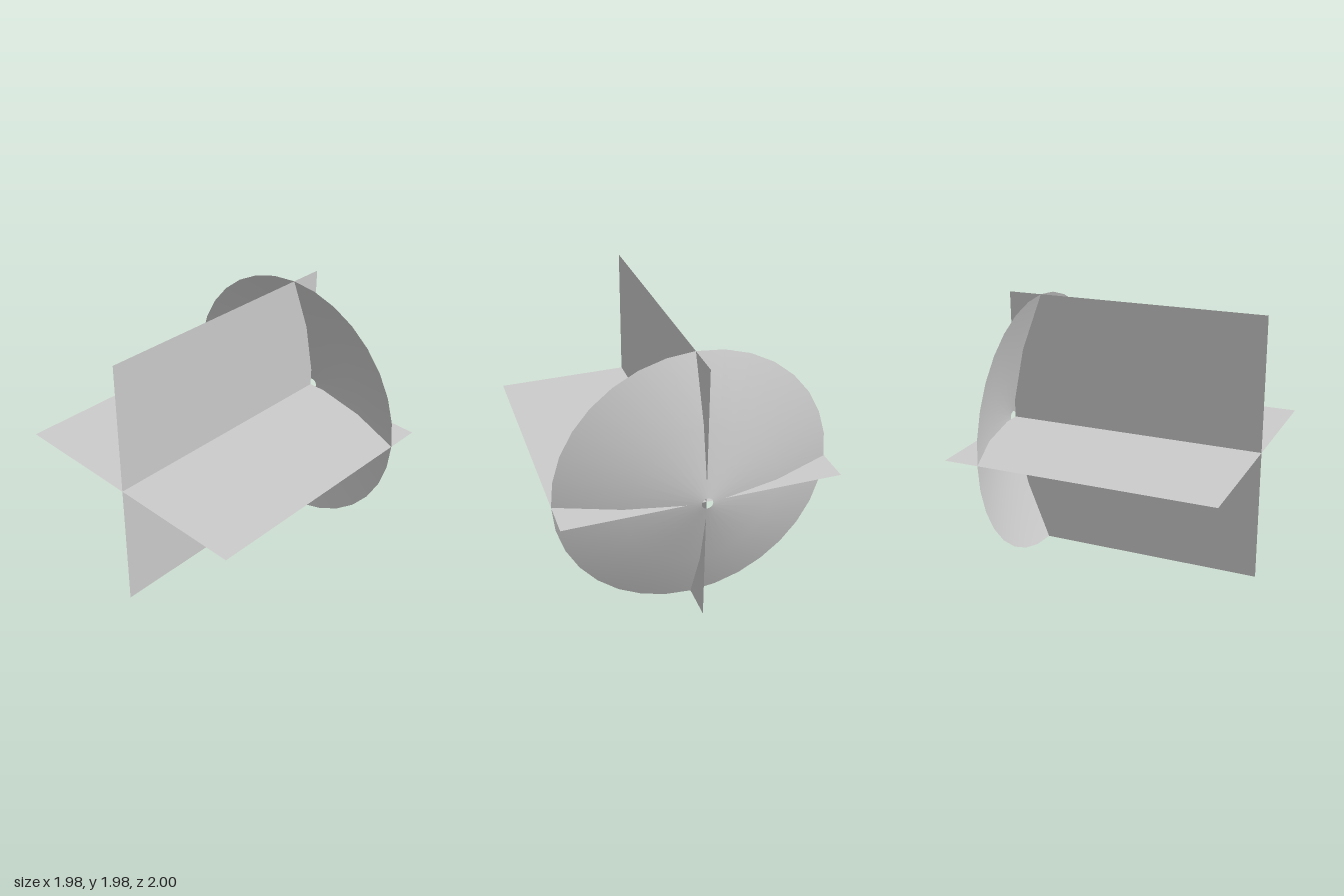
import * as THREE from 'three';

export function createModel() {
  const group = new THREE.Group();
  const material = new THREE.MeshStandardMaterial({ color: 0xcccccc, side: THREE.DoubleSide });
  const size = 1.98;
  const centerY = size / 2;

  const add = (name, geometry, z) => {
    const mesh = new THREE.Mesh(geometry, material);
    mesh.name = name;
    mesh.position.set(0, centerY, z);
    group.add(mesh);
  };

  // Two square sheets crossing along the z axis
  add('horizontalPlane', new THREE.PlaneGeometry(size, size).rotateX(-Math.PI / 2), 0.01);
  add('verticalPlane', new THREE.PlaneGeometry(size, size).rotateY(Math.PI / 2), 0.01);

  // Shallow dish open to the front, with a small hole in the middle
  const profile = [[0.04, -1], [0.55, -0.89], [0.99, -0.72]].map(([r, z]) => new THREE.Vector2(r, z));
  add('dish', new THREE.LatheGeometry(profile, 32).rotateX(Math.PI / 2), 0);

  return group;
}
